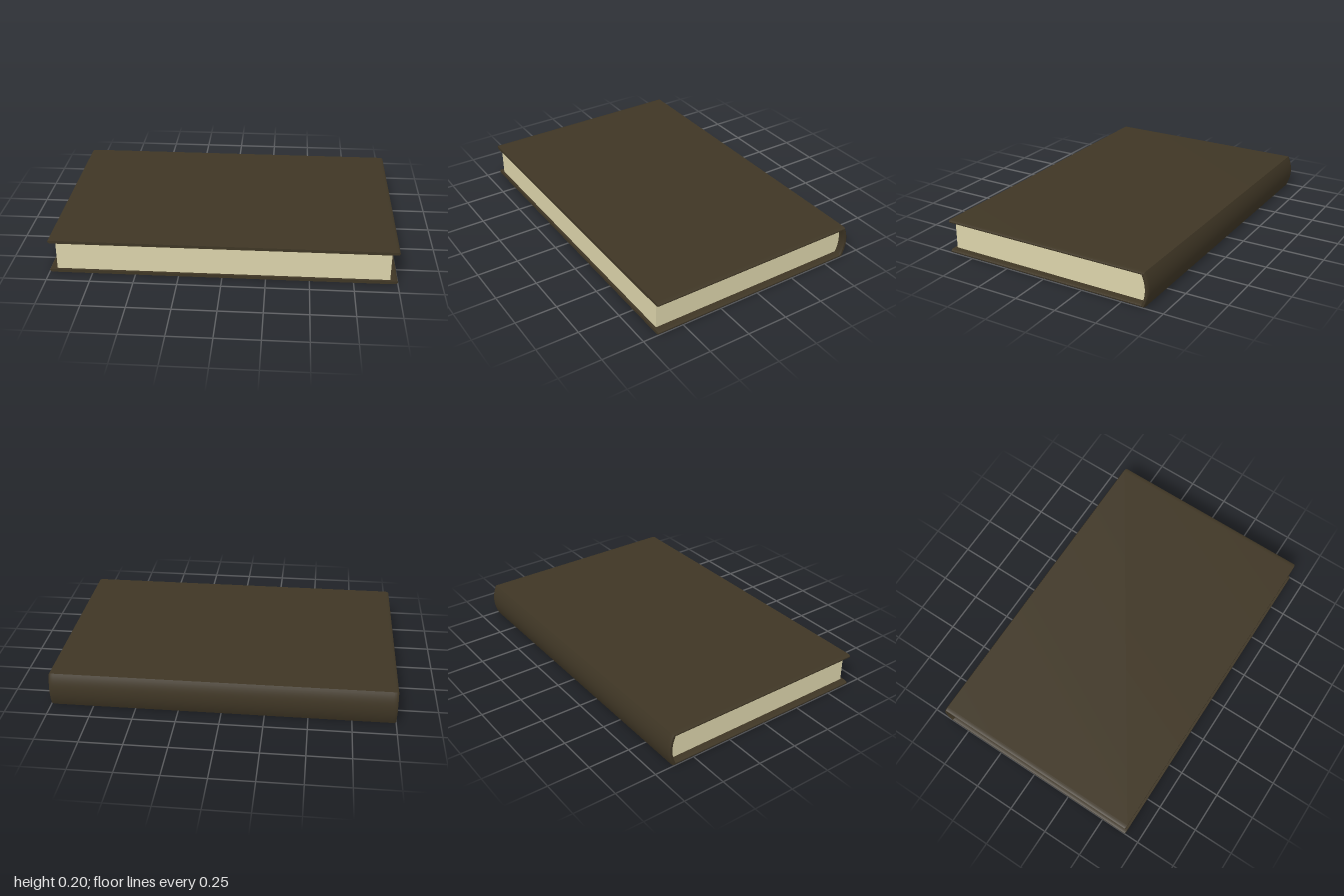
import * as THREE from 'three';
import { toCreasedNormals } from 'three/addons/utils/BufferGeometryUtils.js';

const HEIGHT = 0.205, BOARD = 0.018, FRONT = 0.66;
const TOP = HEIGHT - BOARD;

// Extrudes a cross-section (drawn as -z, y) along x, centred on x = 0.
function extrudeAlongX(shape, length, bevelSize, bevelThickness) {
  const depth = length - 2 * bevelThickness;
  const geometry = new THREE.ExtrudeGeometry(shape, {
    depth, curveSegments: 16,
    bevelEnabled: bevelSize > 0, bevelSize, bevelThickness,
    bevelOffset: -bevelSize, bevelSegments: 4,
  });
  geometry.translate(0, 0, -depth / 2).rotateY(Math.PI / 2);
  return toCreasedNormals(geometry, 0.6);
}

function addPart(group, name, geometry, color) {
  const mesh = new THREE.Mesh(geometry, new THREE.MeshStandardMaterial({ color }));
  mesh.name = name;
  group.add(mesh);
}

export function createModel() {
  const book = new THREE.Group();
  book.name = 'book';

  // Binding: two boards joined by a rounded spine
  const binding = new THREE.Shape();
  binding.moveTo(-FRONT, 0);
  binding.lineTo(0.635, 0);
  binding.quadraticCurveTo(0.685, HEIGHT / 2, 0.635, HEIGHT);
  binding.lineTo(-FRONT, HEIGHT);
  binding.lineTo(-FRONT, TOP);
  binding.lineTo(0.617, TOP);
  binding.quadraticCurveTo(0.655, HEIGHT / 2, 0.617, BOARD);
  binding.lineTo(-FRONT, BOARD);
  binding.closePath();
  addPart(book, 'coverAndSpine', extrudeAlongX(binding, 2, 0.006, 0.025), 0x3f3625);

  // Page block, filling the binding up to the curved spine
  const pages = new THREE.Shape();
  pages.moveTo(-0.645, BOARD - 0.001);
  pages.lineTo(0.619, BOARD - 0.001);
  pages.quadraticCurveTo(0.657, HEIGHT / 2, 0.619, TOP + 0.001);
  pages.lineTo(-0.645, TOP + 0.001);
  pages.closePath();
  addPart(book, 'pageBlock', extrudeAlongX(pages, 1.914, 0, 0), 0xdcd4ab);

  return book;
}
